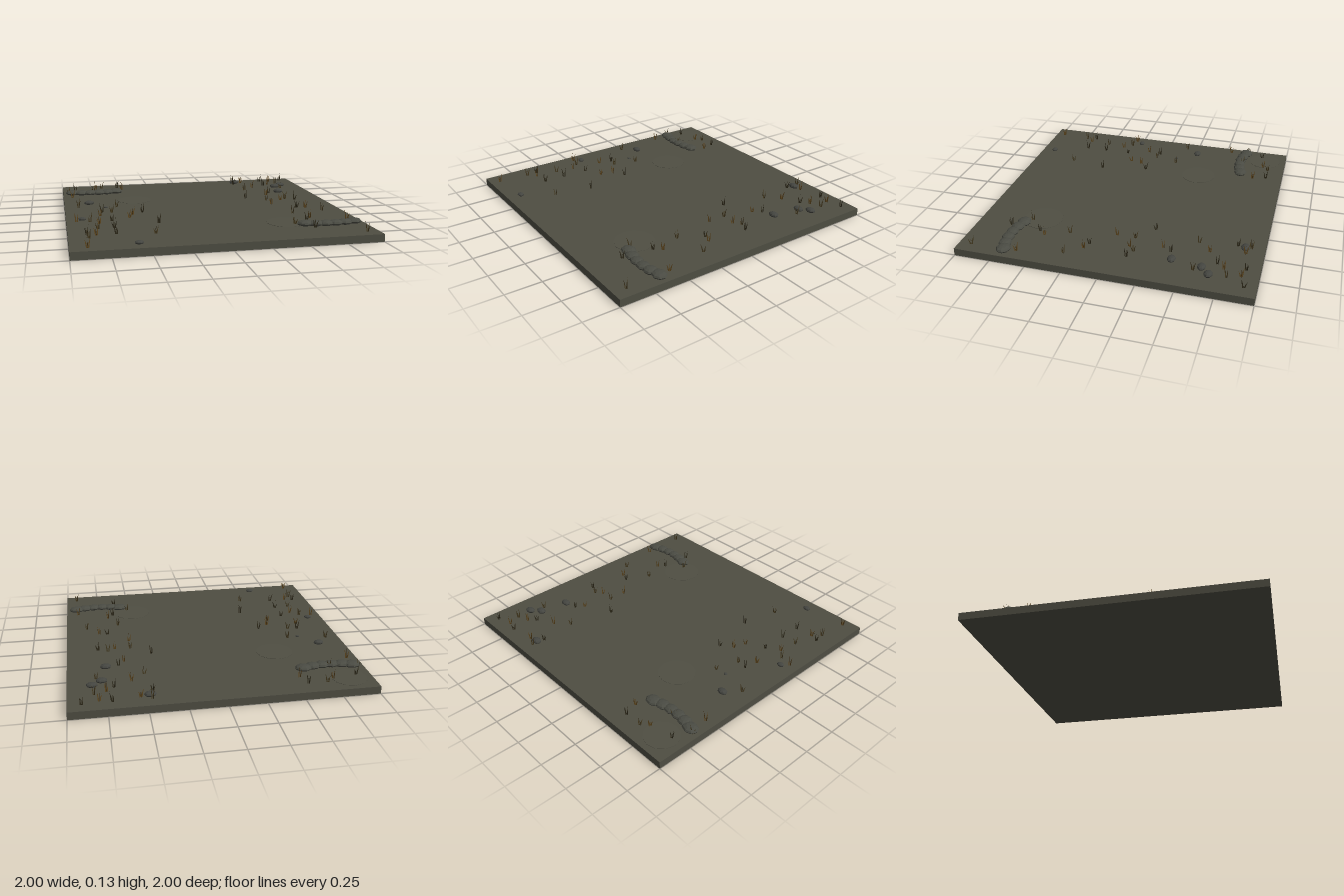
import * as THREE from 'three';
import { mergeGeometries } from 'three/addons/utils/BufferGeometryUtils.js';

const TOP = 0.052;

function mat(name, color, extra = {}) {
  return new THREE.MeshStandardMaterial({ name, color, ...extra });
}

// small seeded generator for natural variation
function seeded(seed) {
  return () => {
    seed = (seed * 16807) % 2147483647;
    return seed / 2147483647;
  };
}

// squashed faceted lump resting on the ground
function lump(name, material, x, z, rx, ry, rz, turn) {
  const geo = new THREE.SphereGeometry(1, 8, 6);
  geo.rotateY(turn);
  const mesh = new THREE.Mesh(geo, material);
  mesh.name = name;
  mesh.scale.set(rx, ry, rz);
  mesh.position.set(x, TOP + ry * 0.7, z);
  return mesh;
}

// upright tapered blades fanned out around one root
function tuft(x, z, rand) {
  const blades = [];
  const count = 4, start = rand() * Math.PI;
  for (let i = 0; i < count; i++) {
    const h = 0.04 + rand() * 0.035;
    const lean = 0.004 + rand() * 0.014;
    const w = 0.0045;
    const shape = new THREE.Shape([
      new THREE.Vector2(-w, 0),
      new THREE.Vector2(w, 0),
      new THREE.Vector2(w * 0.8 + lean * 0.4, h * 0.5),
      new THREE.Vector2(lean, h),
      new THREE.Vector2(-w * 0.8 + lean * 0.4, h * 0.5),
    ]);
    const blade = new THREE.ShapeGeometry(shape);
    const a = start + (i / count) * Math.PI * 2;
    blade.translate(0.005, 0, 0).rotateY(a).translate(x, TOP, z);
    blades.push(blade);
  }
  return mergeGeometries(blades);
}

export function createModel() {
  const group = new THREE.Group();
  const ground = mat('ground', 0x4e4d42);
  const patch = mat('worn ground', 0x504f43);
  const bag = mat('bag', 0x4a4b43, { flatShading: true });
  const stone = mat('stone', 0x444540, { flatShading: true });
  const grass = [
    mat('dry grass', 0x5c451e, { side: THREE.DoubleSide }),
    mat('dull grass', 0x453a20, { side: THREE.DoubleSide }),
    mat('dark grass', 0x2f2a1a, { side: THREE.DoubleSide }),
  ];
  const rand = seeded(4711);

  // square slab
  const slab = new THREE.Mesh(new THREE.BoxGeometry(2, TOP, 2), ground);
  slab.name = 'groundSlab';
  slab.position.y = TOP / 2;
  group.add(slab);

  // faint worn patches
  for (const [x, z, r] of [[0.48, 0.57, 0.14], [-0.46, -0.36, 0.13], [-0.84, -0.84, 0.12]]) {
    const disc = new THREE.Mesh(new THREE.CylinderGeometry(r, r, 0.002, 12), patch);
    disc.name = 'wornPatch';
    disc.position.set(x, TOP + 0.001, z);
    group.add(disc);
  }

  // two curved rows of bags in opposite corners
  for (const side of [1, -1]) {
    const row = new THREE.Group();
    row.name = side > 0 ? 'frontBagRow' : 'backBagRow';
    for (let i = 0; i < 6; i++) {
      const t = (i - 2.5) / 2.5;
      const x = side * 0.75 + t * 0.172;
      const z = side > 0 ? 0.702 - 0.027 * t * t : -0.648 - 0.027 * t * t;
      const r = 0.052 + 0.007 * t * t;
      row.add(lump('bag', bag, x, z, r, 0.021, r * 0.84, i * 0.35));
    }
    group.add(row);
  }

  // scattered stones: x, z, radius
  const stones = [
    [0.48, -0.87, 0.04], [0.84, -0.685, 0.039], [0.775, -0.63, 0.039], [0.74, -0.425, 0.039],
    [-0.815, -0.28, 0.037], [-0.7, -0.13, 0.015], [-0.89, 0.22, 0.028], [-0.575, 0.9, 0.029],
  ];
  stones.forEach(([x, z, r], i) => {
    group.add(lump('stone', stone, x, z, r, r * 0.45, r * 0.75, i * 0.6));
  });

  // grass tufts along both sides: x, z
  const leftTufts = [
    [-0.89, 0.93], [-0.87, 0.71], [-0.88, 0.63], [-0.82, 0.65], [-0.8, 0.49], [-0.69, 0.64],
    [-0.93, 0.27], [-0.84, 0.29], [-0.69, 0.48], [-0.78, 0.35], [-0.44, 0.68], [-0.69, 0.29],
    [-0.76, 0.12], [-0.9, -0.18], [-0.74, 0.02], [-0.56, 0.22], [-0.67, 0.03], [-0.38, 0.41],
    [-0.53, 0.13], [-0.62, -0.14], [-0.45, 0.07], [-0.93, -0.55], [-0.96, -0.69], [-0.9, -0.81],
    [-0.73, -0.84], [-0.68, -0.88], [-0.55, -0.88], [-0.52, -0.78], [-0.76, -0.67],
  ];
  const rightTufts = [
    [0.91, -0.92], [0.8, -0.89], [0.83, -0.8], [0.72, -0.91], [0.75, -0.77], [0.81, -0.58],
    [0.7, -0.72], [0.54, -0.88], [0.47, -0.91], [0.46, -0.82], [0.58, -0.65], [0.49, -0.56],
    [0.65, -0.4], [0.61, -0.34], [0.71, -0.16], [0.78, -0.13], [0.66, -0.12], [0.55, -0.13],
    [0.41, -0.24], [0.76, 0.17], [0.85, 0.28], [0.7, 0.15], [0.55, 0], [0.61, 0.32],
    [0.64, 0.53], [0.68, 0.48], [0.52, 0.63], [0.62, 0.75], [0.91, 0.59], [0.92, 0.91],
  ];
  const batches = [[], [], []];
  [...leftTufts, ...rightTufts].forEach(([x, z], i) => batches[i % 3].push(tuft(x, z, rand)));
  batches.forEach((list, i) => {
    const mesh = new THREE.Mesh(mergeGeometries(list), grass[i]);
    mesh.name = 'grassTufts' + (i + 1);
    group.add(mesh);
  });

  return group;
}
